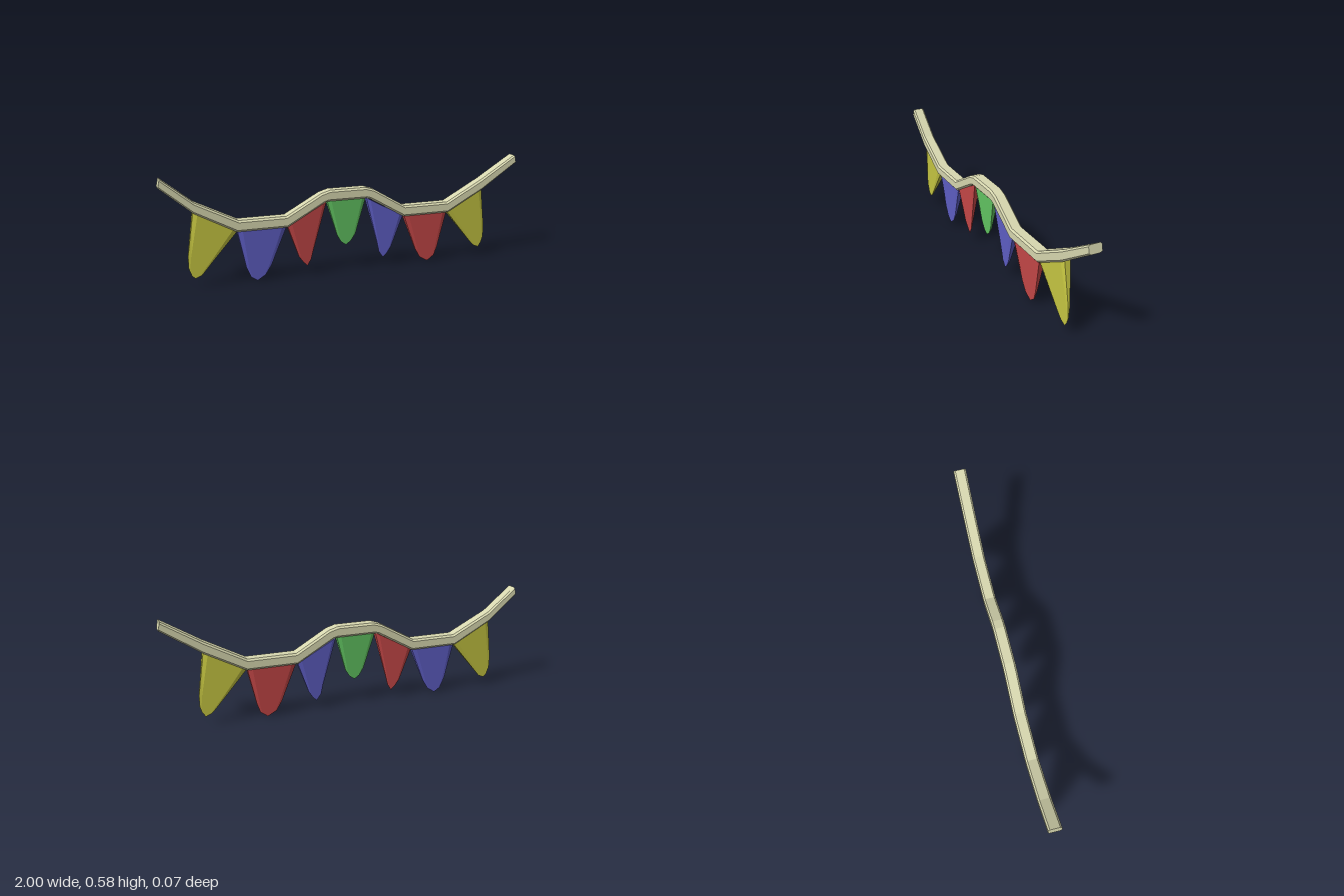
import * as THREE from 'three';

// Skin a list of equal-length closed rings, with capped ends and flat faces
function loft(rings) {
  const pos = [];
  const tri = (a, b, c) => pos.push(...a, ...b, ...c);
  const n = rings[0].length, last = rings[rings.length - 1];
  for (let i = 0; i < rings.length - 1; i++) {
    for (let j = 0; j < n; j++) {
      const k = (j + 1) % n;
      const a = rings[i][j], b = rings[i][k], c = rings[i + 1][k], d = rings[i + 1][j];
      tri(a, b, d);
      tri(b, c, d);
    }
  }
  for (let j = 1; j < n - 1; j++) {
    tri(rings[0][0], rings[0][j + 1], rings[0][j]);
    tri(last[0], last[j], last[j + 1]);
  }
  const g = new THREE.BufferGeometry();
  g.setAttribute('position', new THREE.Float32BufferAttribute(pos, 3));
  g.computeVertexNormals();
  return g;
}

function part(name, geometry, color) {
  const mesh = new THREE.Mesh(geometry, new THREE.MeshStandardMaterial({ color, flatShading: true }));
  mesh.name = name;
  return mesh;
}

// Chamfered cord: each station is [x top, y top, x bottom, y bottom]
function cordGeometry() {
  const stations = [
    [-0.99, 0.58, -1, 0.535], [-0.83, 0.45, -0.835, 0.395], [-0.61, 0.34, -0.62, 0.28],
    [-0.36, 0.34, -0.355, 0.28], [-0.17, 0.445, -0.15, 0.395], [-0.12, 0.46, -0.13, 0.4],
    [0.08, 0.46, 0.085, 0.4], [0.13, 0.445, 0.105, 0.395], [0.31, 0.34, 0.305, 0.28],
    [0.57, 0.34, 0.575, 0.28], [0.785, 0.455, 0.79, 0.395], [0.99, 0.58, 1, 0.535],
  ];
  const section = [[0.025, 1], [0.034, 0.83], [0.034, 0.17], [0.025, 0],
    [-0.025, 0], [-0.034, 0.17], [-0.034, 0.83], [-0.025, 1]];
  return loft(stations.map(([xt, yt, xb, yb]) =>
    section.map(([z, t]) => [xb + (xt - xb) * t, yb + (yt - yb) * t, z])));
}

// Pennant: rows of [left x, y, right x, y] from the cord to the tip,
// thinning to nothing with distance from the top edge
function pennantGeometry(rows) {
  const [ax, ay, bx, by] = rows[0];
  const len = Math.hypot(bx - ax, by - ay);
  const drop = (x, y) => ((by - ay) * (x - ax) - (bx - ax) * (y - ay)) / len;
  const tip = rows[rows.length - 1];
  const full = drop(tip[0], tip[1]);
  return loft(rows.map(([lx, ly, rx, ry]) => {
    const inset = Math.min(0.1, 0.2);
    const at = (s, depth) => {
      const x = lx + (rx - lx) * s, y = ly + (ry - ly) * s;
      return [x, y, depth * Math.max(0, 1 - drop(x, y) / full)];
    };
    return [at(1, 0.016), at(1 - inset, 0.024), at(inset, 0.024), at(0, 0.016),
      at(0, -0.016), at(inset, -0.024), at(1 - inset, -0.024), at(1, -0.016)];
  }));
}

export function createModel() {
  const group = new THREE.Group();
  group.name = 'bunting';
  group.add(part('cord', cordGeometry(), 0xd8d8b0));

  const yellow = 0xcccc44, blue = 0x6262cc, red = 0xcc4a4a, green = 0x66cc66;
  const pennants = [
    [yellow, [[-0.837, 0.4, -0.62, 0.28], [-0.87, 0.17, -0.72, 0.163], [-0.87, 0.107, -0.79, 0.08],
      [-0.855, 0.064, -0.805, 0.062], [-0.838, 0.048, -0.838, 0.048]]],
    [blue, [[-0.618, 0.285, -0.357, 0.285], [-0.575, 0.08, -0.44, 0.08],
      [-0.55, 0.022, -0.473, 0.027], [-0.516, 0, -0.516, 0]]],
    [red, [[-0.352, 0.283, -0.138, 0.4], [-0.29, 0.107, -0.208, 0.14],
      [-0.265, 0.072, -0.222, 0.085], [-0.243, 0.05, -0.243, 0.05]]],
    [green, [[-0.136, 0.405, 0.084, 0.405], [-0.075, 0.205, 0.03, 0.205],
      [-0.052, 0.165, 0.005, 0.165], [-0.024, 0.145, -0.024, 0.145]]],
    [blue, [[0.088, 0.4, 0.303, 0.283], [0.158, 0.14, 0.24, 0.107],
      [0.17, 0.085, 0.217, 0.072], [0.195, 0.05, 0.195, 0.05]]],
    [red, [[0.31, 0.285, 0.572, 0.285], [0.39, 0.078, 0.525, 0.078],
      [0.42, 0.027, 0.508, 0.03], [0.468, 0, 0.468, 0]]],
    [yellow, [[0.577, 0.28, 0.79, 0.4], [0.674, 0.163, 0.822, 0.17], [0.74, 0.085, 0.822, 0.107],
      [0.762, 0.062, 0.812, 0.075], [0.794, 0.048, 0.794, 0.048]]],
  ];
  pennants.forEach(([color, rows], i) => group.add(part(`pennant${i + 1}`, pennantGeometry(rows), color)));
  return group;
}
